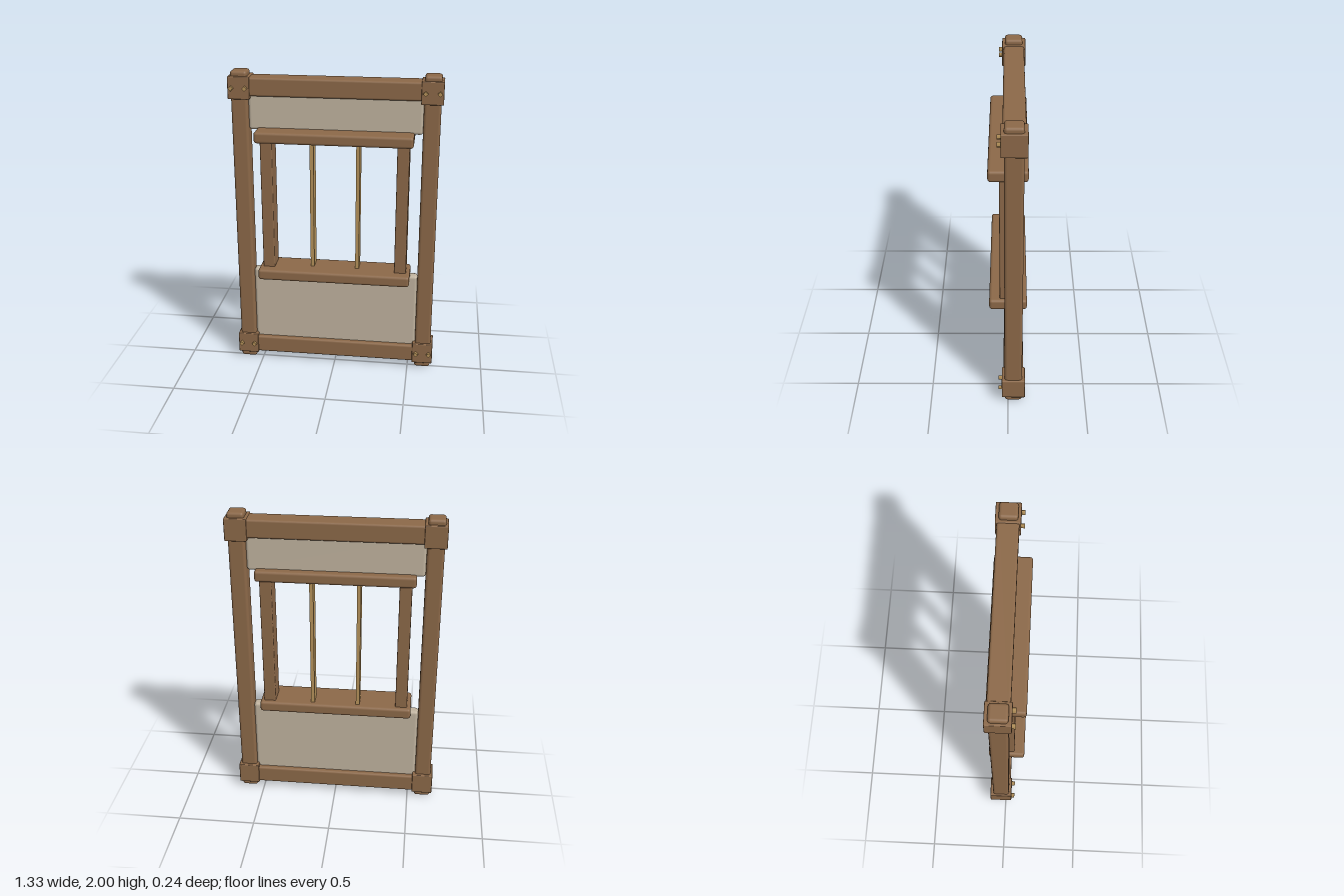
import * as THREE from 'three';
import { RoundedBoxGeometry } from 'three/addons/geometries/RoundedBoxGeometry.js';

export function createModel() {
  const group = new THREE.Group();
  group.name = 'windowWall';

  const mat = (name, color) => {
    const m = new THREE.MeshStandardMaterial({ color });
    m.name = name;
    return m;
  };
  const wood = mat('brown wood', 0x8b6848);
  const plaster = mat('pale plaster', 0xbfb29e);
  const brass = mat('golden wood', 0xb5925a);

  // Softly rounded beam given by its extents on each axis
  const beam = (name, material, [x0, x1], [y0, y1], [z0, z1], r) => {
    const size = [x1 - x0, y1 - y0, z1 - z0];
    const geo = r ? new RoundedBoxGeometry(...size, 2, r) : new THREE.BoxGeometry(...size);
    const mesh = new THREE.Mesh(geo, material);
    mesh.name = name;
    mesh.position.set((x0 + x1) / 2, (y0 + y1) / 2, (z0 + z1) / 2);
    group.add(mesh);
  };

  // Horizontal rails
  beam('bottomRail', wood, [-0.58, 0.58], [0.045, 0.162], [-0.1, 0.03], 0.014);
  beam('topRail', wood, [-0.58, 0.58], [1.845, 1.963], [-0.1, 0.03], 0.014);

  // Infill panels below and above the window
  beam('lowerPanel', plaster, [-0.548, 0.548], [0.1, 0.665], [-0.07, 0], 0.02);
  beam('upperPanel', plaster, [-0.548, 0.548], [1.625, 1.9], [-0.07, 0], 0.02);

  // Window sill and lintel
  beam('sill', wood, [-0.497, 0.497], [0.635, 0.708], [-0.118, 0.118], 0.018);
  beam('lintel', wood, [-0.497, 0.497], [1.568, 1.641], [-0.118, 0.118], 0.018);

  for (const s of [-1, 1]) {
    const side = s > 0 ? 'left' : 'right';
    const span = (a, b) => (s > 0 ? [a, b] : [-b, -a]);

    // Post, window jamb and slender bar
    beam(side + 'Post', wood, span(0.547, 0.653), [0, 2], [-0.09, 0.022], 0.018);
    beam(side + 'Jamb', wood, span(0.395, 0.472), [0.67, 1.6], [-0.088, 0.052], 0.008);
    beam(side + 'Bar', brass, span(0.136, 0.16), [0.67, 1.6], [-0.083, 0.012], 0);

    // Corner blocks with pegs
    for (const [level, y0, y1] of [['Bottom', 0.04, 0.182], ['Top', 1.826, 1.968]]) {
      beam(side + level + 'Block', wood, span(0.53, 0.667), [y0, y1], [-0.11, 0.04], 0.006);
      for (const x of [0.556, 0.643]) {
        const peg = new THREE.Mesh(new THREE.CylinderGeometry(0.016, 0.016, 0.04, 4), brass);
        peg.name = side + level + 'Peg';
        peg.rotation.x = Math.PI / 2;
        peg.position.set(s * x, (y0 + y1) / 2, 0.041);
        group.add(peg);
      }
    }
  }
  return group;
}
